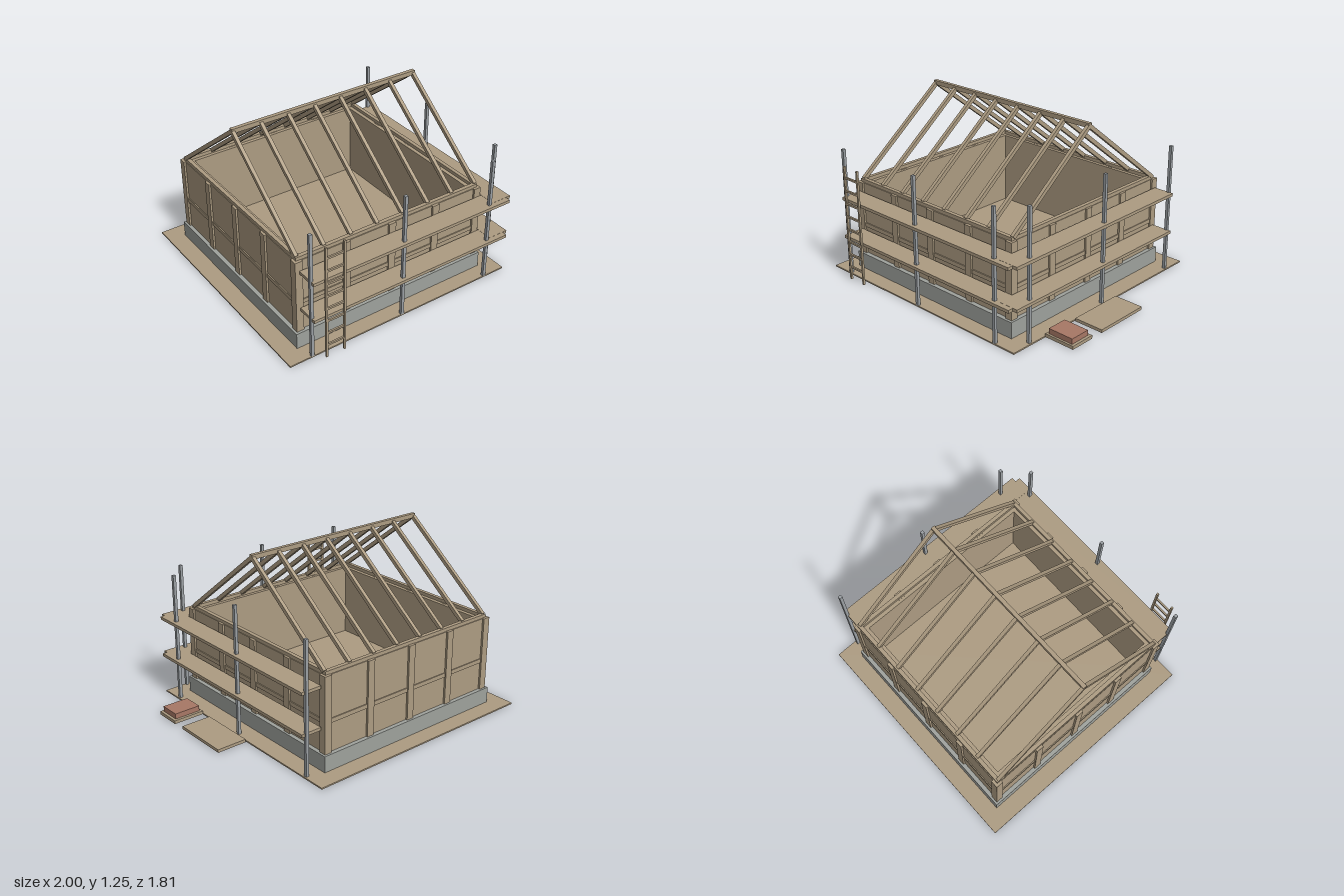
import * as THREE from 'three';

const mat = (name, color) => {
  const m = new THREE.MeshStandardMaterial({ color });
  m.name = name;
  return m;
};

export function createModel() {
  const model = new THREE.Group();
  const timber = mat('timber', 0xad9c82);
  const concrete = mat('concrete', 0x9fa29d);
  const steel = mat('steel', 0x9ba0a4);
  const brick = mat('brick', 0xa87866);

  const group = (name) => {
    const g = new THREE.Group();
    g.name = name;
    model.add(g);
    return g;
  };
  // Box given by its extents on each axis
  const box = (parent, name, m, [x0, x1], [y0, y1], [z0, z1]) => {
    const mesh = new THREE.Mesh(new THREE.BoxGeometry(x1 - x0, y1 - y0, z1 - z0), m);
    mesh.position.set((x0 + x1) / 2, (y0 + y1) / 2, (z0 + z1) / 2);
    mesh.name = name;
    parent.add(mesh);
    return mesh;
  };
  const around = (c, w) => [c - w / 2, c + w / 2];
  // Rectangular ring of four boxes, t thick inward
  const ring = (parent, name, m, [x0, x1], y, [z0, z1], t) => {
    box(parent, name, m, [x0, x1], y, [z1 - t, z1]);
    box(parent, name, m, [x0, x1], y, [z0, z0 + t]);
    box(parent, name, m, [x0, x0 + t], y, [z0 + t, z1 - t]);
    box(parent, name, m, [x1 - t, x1], y, [z0 + t, z1 - t]);
  };

  // Ground sheet, plinth and floor
  const base = group('base');
  box(base, 'groundSheet', timber, [-1, 0.77], [0, 0.01], [-0.91, 0.85]);
  ring(base, 'plinth', concrete, [-0.875, 0.64], [0.01, 0.125], [-0.785, 0.735], 0.08);
  box(base, 'floor', timber, [-0.795, 0.56], [0.01, 0.124], [-0.705, 0.655]);

  // Wall panels and top plates
  const walls = group('walls');
  ring(walls, 'wallPanel', timber, [-0.846, 0.611], [0.125, 0.66], [-0.756, 0.703], 0.06);
  ring(walls, 'topPlate', timber, [-0.842, 0.607], [0.66, 0.685], [-0.75, 0.697], 0.028);

  // Corner posts, studs and middle rails
  const frame = group('wallFrame');
  const X = [-0.833, 0.598], Z = [-0.743, 0.69], W = 0.054;
  const post = (name, x, z) =>
    box(frame, name, timber, around(x, W), [0.125, 0.662], around(z, W));
  for (const x of X) for (const z of Z) post('cornerPost', x, z);
  for (let i = 1; i < 4; i++) {
    for (const z of Z) post('stud', X[0] + (X[1] - X[0]) * i / 4, z);
    for (const x of X) post('stud', x, Z[0] + (Z[1] - Z[0]) * i / 4);
  }
  ring(frame, 'middleRail', timber, [-0.853, 0.618], [0.33, 0.36], [-0.763, 0.71], 0.03);

  // Ridge beam and pairs of rafters
  const roof = group('roof');
  const ridgeZ = -0.026;
  box(roof, 'ridgeBeam', timber, [-0.84, 0.612], [1.213, 1.245], around(ridgeZ, 0.028));
  const run = 0.705, rise = 0.545;
  for (let i = 0; i < 8; i++) {
    const x = -0.83 + i * 0.2043;
    for (const s of [-1, 1]) {
      const rafter = box(roof, 'rafter', timber, around(x, 0.025), around(0.952, 0.028),
        around(ridgeZ + s * run / 2, Math.hypot(run, rise)));
      rafter.rotation.x = s * Math.atan2(rise, run);
    }
  }

  // Scaffold poles and walkways on two sides
  const scaffold = group('scaffold');
  const poles = [[-0.83, 0.84], [-0.12, 0.84], [0.598, 0.84], [0.75, 0.69], [0.75, -0.025], [0.75, -0.74]];
  for (const [x, z] of poles)
    box(scaffold, 'pole', steel, around(x, 0.022), [0.01, 0.94], around(z, 0.022));
  for (const y of [0.3, 0.586]) {
    box(scaffold, 'frontWalkway', timber, [-0.832, 0.75], around(y, 0.022), [0.72, 0.876]);
    box(scaffold, 'sideWalkway', timber, [0.632, 0.786], around(y + 0.001, 0.022), [-0.74, 0.838]);
  }

  // Ladder
  const ladder = group('ladder');
  for (const x of [-0.757, -0.622])
    box(ladder, 'ladderRail', timber, around(x, 0.015), [0.005, 0.848], [0.89, 0.905]);
  for (let i = 0; i < 8; i++)
    box(ladder, 'rung', timber, [-0.757, -0.622], around(0.1 + i * 0.0955, 0.014), [0.891, 0.904]);

  // Boards and brick stack beside the house
  const supplies = group('supplies');
  box(supplies, 'boardStack', timber, [0.78, 1], [0.004, 0.026], [-0.14, 0.28]);
  box(supplies, 'pallet', timber, [0.77, 1], [0.004, 0.028], [0.375, 0.562]);
  box(supplies, 'brickStack', brick, [0.787, 0.98], [0.028, 0.066], [0.395, 0.547]);

  return model;
}
